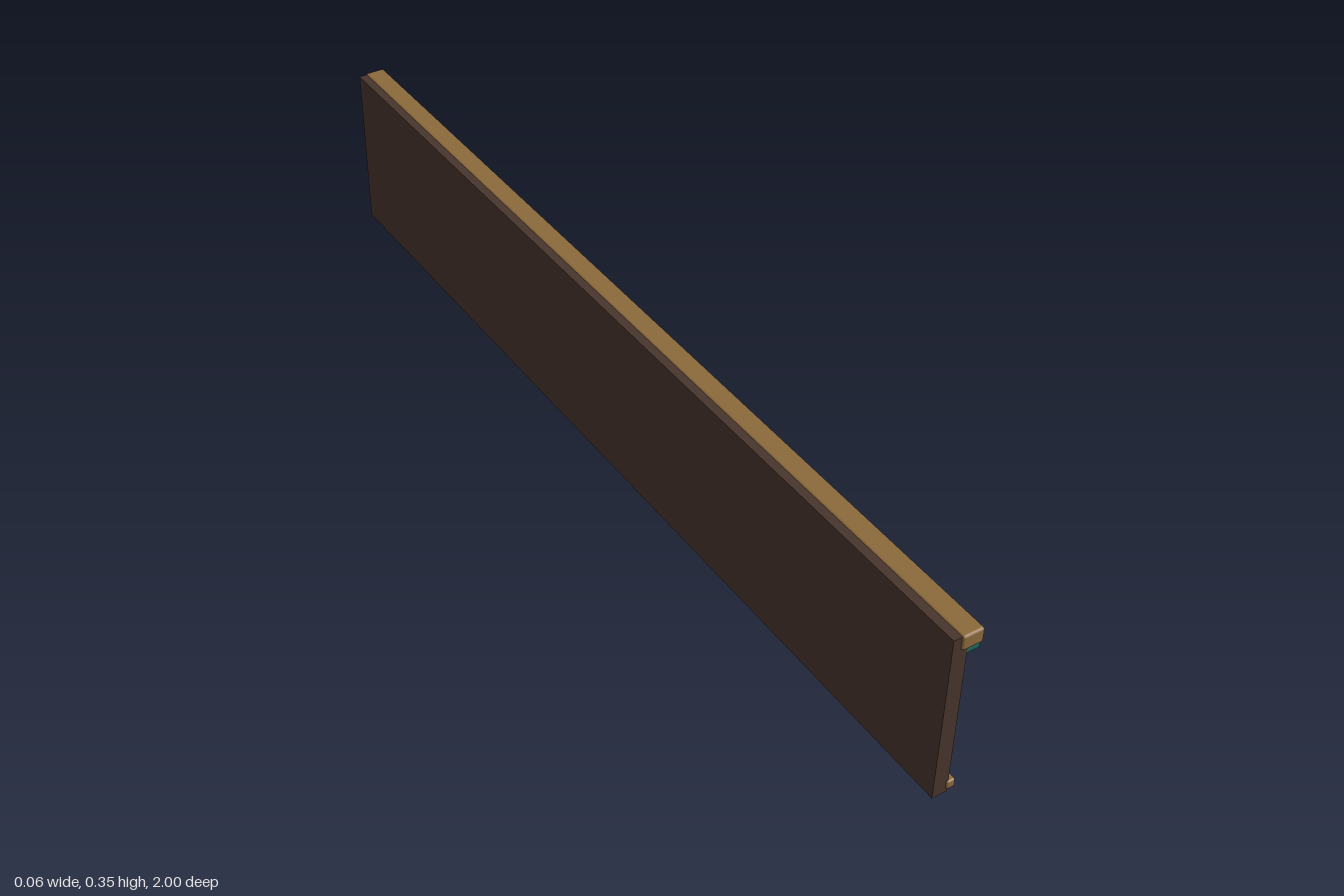
import * as THREE from 'three';
import { RoundedBoxGeometry } from 'three/addons/geometries/RoundedBoxGeometry.js';

const mat = (name, color) => new THREE.MeshStandardMaterial({ name, color });

export function createModel() {
  const wood = mat('dark wood', 0x48352d);
  const bronze = mat('bronze trim', 0x8c6a3c);
  const brass = mat('brass', 0xc49c4c);
  const copper = mat('copper', 0xb86f48);
  const teal = mat('teal', 0x1f665e);
  const cream = mat('cream', 0xdcd3bd);
  const black = mat('black', 0x1a1612);

  const root = new THREE.Group();
  root.name = 'clockworkPanel';

  function add(name, geometry, material, x, y, z, parent = root) {
    const mesh = new THREE.Mesh(geometry, material);
    mesh.name = name;
    mesh.position.set(x, y, z);
    parent.add(mesh);
    return mesh;
  }

  // Discs whose axis runs along x
  const disc = (r, depth, sides) => new THREE.CylinderGeometry(r, r, depth, sides).rotateZ(-Math.PI / 2);

  // Backing board and trims running its full length
  add('board', new THREE.BoxGeometry(0.03, 0.35, 1.992), wood, -0.015, 0.175, 0);
  add('topRail', new RoundedBoxGeometry(0.042, 0.03, 2, 2, 0.005), bronze, 0.007, 0.337, 0);
  add('tealStrip', new THREE.BoxGeometry(0.024, 0.01, 1.992), teal, 0.012, 0.315, 0);
  add('bottomRail', new RoundedBoxGeometry(0.017, 0.018, 2, 2, 0.004), bronze, 0.004, 0.017, 0);

  // Toothed wheel with a round hub
  function gear(name, r, teeth, material, hubRadius, y, z) {
    const group = new THREE.Group();
    group.name = name;
    group.position.set(0, y, z);
    root.add(group);
    const shape = new THREE.Shape();
    const rootRadius = r - Math.max(0.009, r * 0.1);
    const profile = [[-0.5, rootRadius], [-0.25, rootRadius], [-0.22, r], [0.22, r], [0.25, rootRadius]];
    for (let i = 0; i < teeth; i++) {
      profile.forEach(([t, radius], k) => {
        const a = ((i + t) / teeth) * Math.PI * 2;
        const px = Math.cos(a) * radius, py = Math.sin(a) * radius;
        if (i === 0 && k === 0) shape.moveTo(px, py);
        else shape.lineTo(px, py);
      });
    }
    shape.closePath();
    const wheel = new THREE.ExtrudeGeometry(shape, { depth: 0.015, bevelEnabled: false }).rotateY(Math.PI / 2);
    add('wheel', wheel, material, 0.003, 0, 0, group);
    add('hub', disc(hubRadius, 0.023, 24), teal, 0.0125, 0, 0, group);
  }

  // A cluster of three gears at each end
  for (const side of [1, -1]) {
    const end = side > 0 ? 'left' : 'right';
    gear(end + 'LargeGear', 0.115, 16, brass, 0.024, 0.166, side * 0.667);
    gear(end + 'SmallGear', 0.044, 8, copper, 0.011, 0.24, side * 0.775);
    gear(end + 'MediumGear', side > 0 ? 0.064 : 0.058, 10, copper, 0.013, 0.24, side > 0 ? 0.522 : -0.498);
  }

  // Clock: face, rim, hour marks and hands
  const clock = new THREE.Group();
  clock.name = 'clock';
  clock.position.set(0, 0.176, 0);
  root.add(clock);
  add('face', disc(0.12, 0.01, 48), cream, 0.006, 0, 0, clock);
  add('rim', new THREE.TorusGeometry(0.122, 0.008, 10, 48).rotateY(Math.PI / 2), brass, 0.011, 0, 0, clock);
  for (let i = 0; i < 12; i++) {
    const a = (i / 12) * Math.PI * 2;
    add('hourMark', new THREE.BoxGeometry(0.004, 0.028, 0.011), black, 0.012, Math.cos(a) * 0.098, -Math.sin(a) * 0.098, clock);
  }

  // Hand given by its two ends in (z, y)
  function hand(name, z0, y0, z1, y1, width) {
    const length = Math.hypot(z1 - z0, y1 - y0);
    const mesh = add(name, new THREE.BoxGeometry(0.004, length, width), black, 0.0135, (y0 + y1) / 2, (z0 + z1) / 2, clock);
    mesh.rotation.x = Math.atan2(z1 - z0, y1 - y0);
  }
  hand('minuteHand', 0.025, 0.002, 0.004, 0.098, 0.012);
  hand('hourHand', 0.006, 0.008, -0.044, -0.024, 0.014);

  return root;
}
